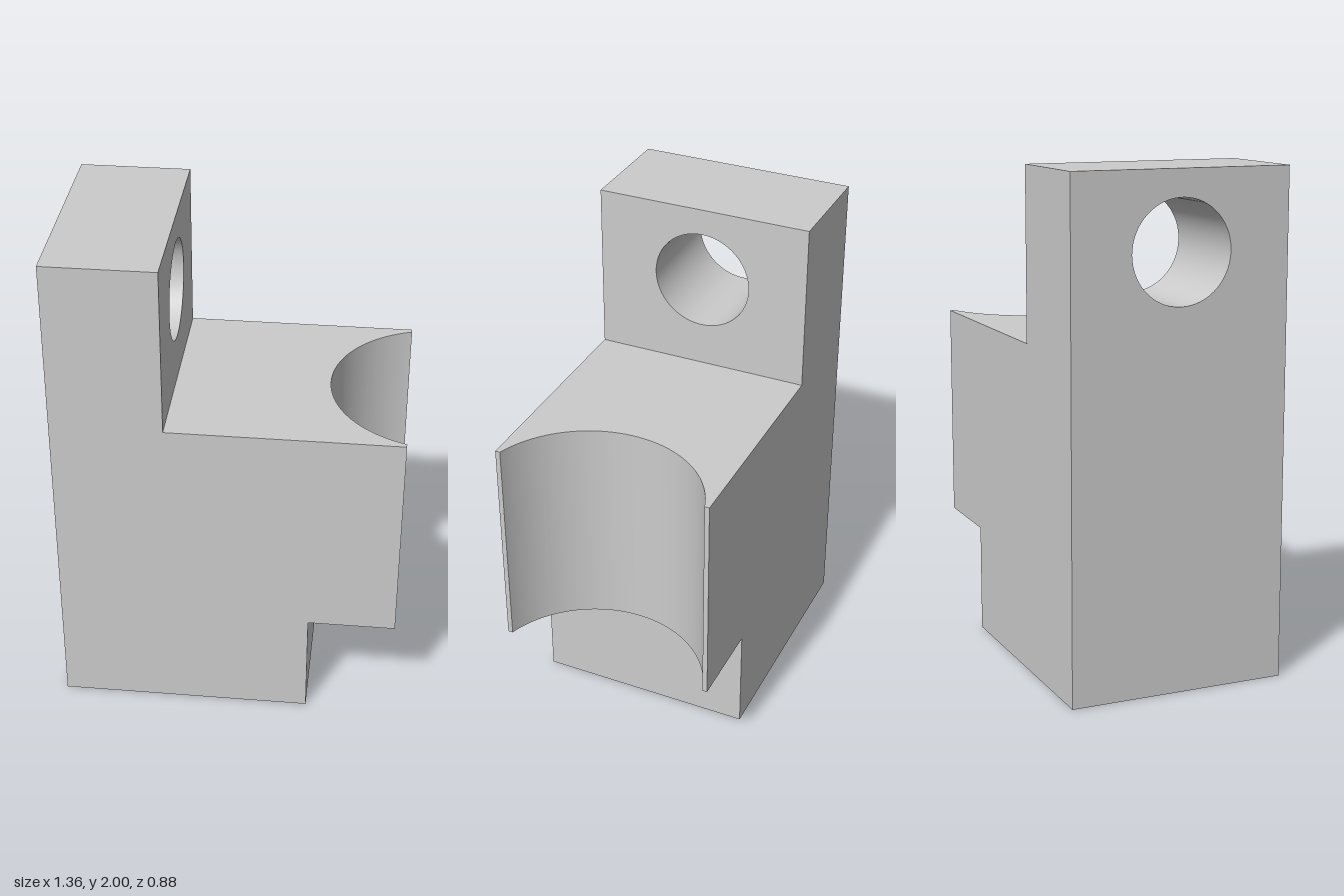
import * as THREE from 'three';
import { toCreasedNormals } from 'three/addons/utils/BufferGeometryUtils.js';

const BACK = -0.68, FRONT = 0.68, HALF = 0.44; // x extents and half depth
const Y1 = 0.44, Y2 = 1.32, TOP = 2; // heights of the steps

const material = new THREE.MeshStandardMaterial({ color: 0xcccccc });

function part(name, geometry) {
  const mesh = new THREE.Mesh(geometry, material);
  mesh.name = name;
  return mesh;
}

// Extrude with sharp edges but smooth curved walls
function extrude(shape, depth) {
  const g = new THREE.ExtrudeGeometry(shape, { depth, bevelEnabled: false, curveSegments: 48 });
  return toCreasedNormals(g, Math.PI / 6);
}

export function createModel() {
  const group = new THREE.Group();
  group.name = 'steppedBlock';

  // Foot: plain box, set back from the cradle end
  const footLength = 0.33 - BACK;
  const foot = part('foot', new THREE.BoxGeometry(footLength, Y1, HALF * 2));
  foot.position.set(BACK + footLength / 2, Y1 / 2, 0);
  group.add(foot);

  // Cradle block: plan outline with a cylindrical scoop in the +x end
  const r = 0.44, cx = 0.81;
  const a = Math.acos((cx - FRONT) / r);
  const plan = new THREE.Shape();
  plan.moveTo(BACK, -HALF);
  plan.lineTo(FRONT, -HALF);
  plan.absarc(cx, 0, r, Math.PI + a, Math.PI - a, true);
  plan.lineTo(FRONT, HALF);
  plan.lineTo(BACK, HALF);
  plan.closePath();
  const cradle = part('cradleBlock', extrude(plan, Y2 - Y1).rotateX(-Math.PI / 2));
  cradle.position.y = Y1;
  group.add(cradle);

  // Upright lug: end outline with a round through hole, extruded along x
  const lugShape = new THREE.Shape();
  lugShape.moveTo(-HALF, Y2);
  lugShape.lineTo(HALF, Y2);
  lugShape.lineTo(HALF, TOP);
  lugShape.lineTo(-HALF, TOP);
  lugShape.closePath();
  const hole = new THREE.Path();
  hole.absarc(0, 1.695, 0.2, 0, Math.PI * 2, true);
  lugShape.holes.push(hole);
  const lug = part('uprightLug', extrude(lugShape, 0.44).rotateY(Math.PI / 2));
  lug.position.x = BACK;
  group.add(lug);

  return group;
}
